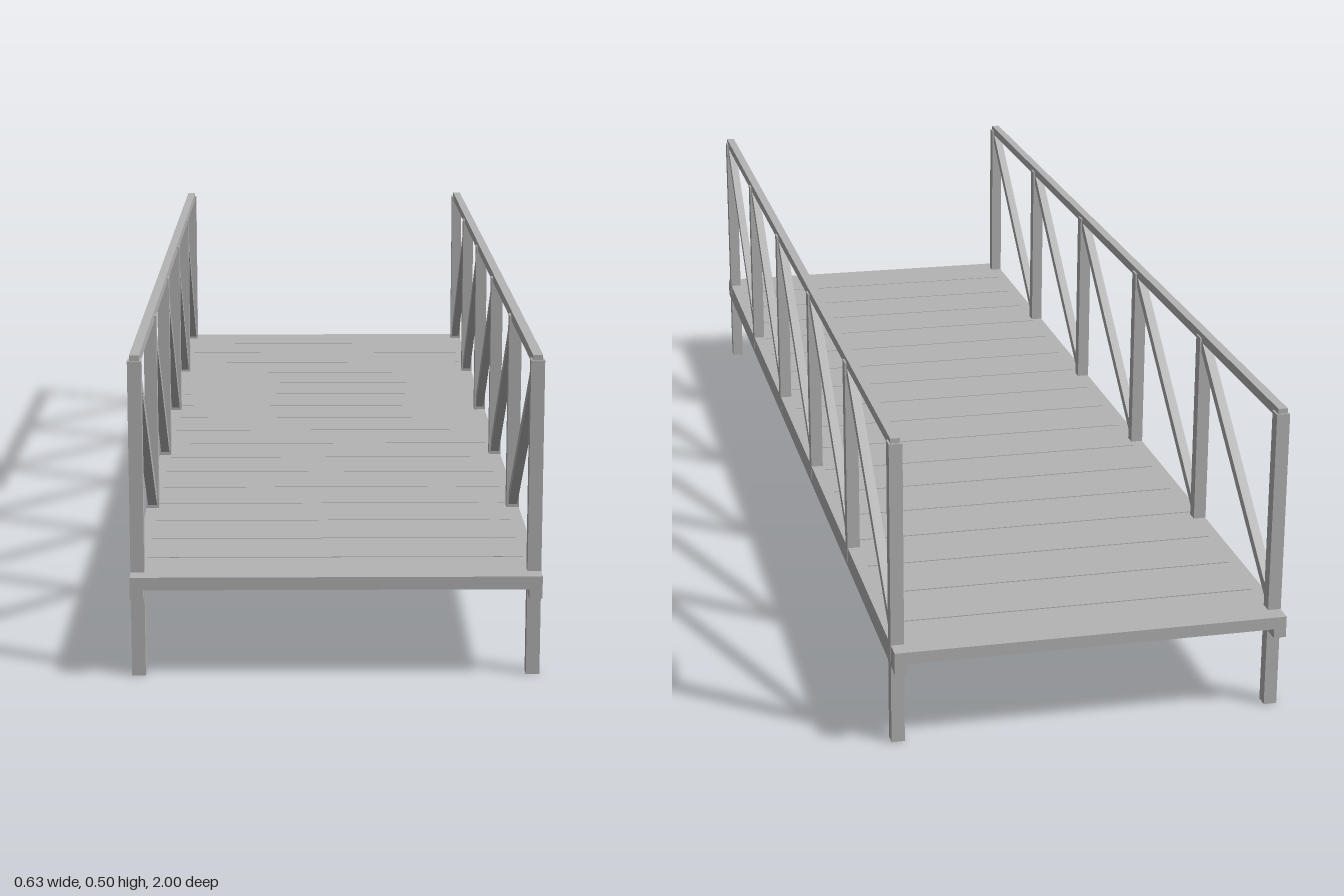
import * as THREE from 'three';

export function createModel() {
  const bridge = new THREE.Group();
  bridge.name = 'footbridge';
  const steel = new THREE.MeshStandardMaterial({ color: 0xb4b4b4 });
  steel.name = 'grey';

  const box = (parent, name, w, h, d, x, y, z) => {
    const mesh = new THREE.Mesh(new THREE.BoxGeometry(w, h, d), steel);
    mesh.name = name;
    mesh.position.set(x, y, z);
    parent.add(mesh);
    return mesh;
  };

  // Deck planks with narrow gaps, running between the side beams
  const deck = new THREE.Group();
  deck.name = 'deck';
  bridge.add(deck);
  const plankCount = 18, pitch = 2 / plankCount, gap = 0.003;
  for (let i = 0; i < plankCount; i++) {
    const start = -1 + i * pitch + (i ? gap / 2 : 0);
    const end = -1 + (i + 1) * pitch - (i < plankCount - 1 ? gap / 2 : 0);
    box(deck, 'plank', 0.592, 0.02, end - start, 0, 0.155, (start + end) / 2);
  }

  // Side trusses: beam, posts, diagonal braces and handrail
  const bays = 5, endZ = 0.96, bay = (2 * endZ) / bays;
  for (const side of [-1, 1]) {
    const truss = new THREE.Group();
    truss.name = side > 0 ? 'leftTruss' : 'rightTruss';
    truss.position.x = side * 0.303;
    bridge.add(truss);

    box(truss, 'sideBeam', 0.02, 0.035, 2, 0, 0.1475, 0);
    box(truss, 'handrail', 0.015, 0.016, 2 * endZ + 0.015, 0, 0.493, 0);

    for (let i = 0; i <= bays; i++) {
      const z = endZ - i * bay;
      const bottom = i === 0 || i === bays ? 0 : 0.14; // end posts reach the ground
      box(truss, 'post', 0.021, 0.493 - bottom, 0.021, 0, (0.493 + bottom) / 2, z);
      if (i === bays) continue;
      // Brace falls from the top of this post to the foot of the next
      const top = 0.487, foot = 0.172;
      const brace = box(truss, 'brace', 0.015, 0.016, Math.hypot(bay, top - foot), 0, (top + foot) / 2, z - bay / 2);
      brace.rotation.x = -Math.atan2(top - foot, bay);
    }
  }
  return bridge;
}
